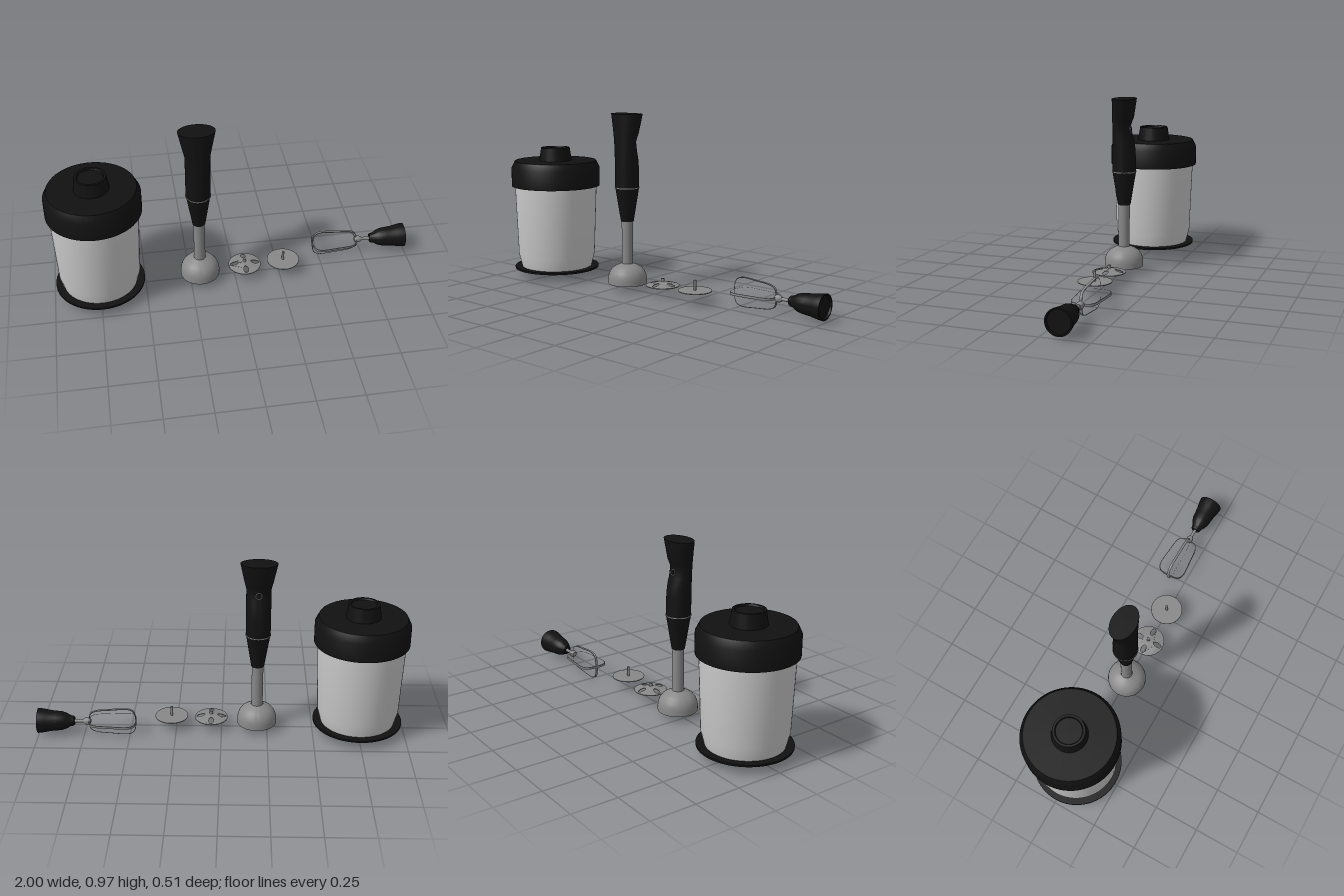
import * as THREE from 'three';
import { toCreasedNormals } from 'three/addons/utils/BufferGeometryUtils.js';

const black = new THREE.MeshStandardMaterial({ color: 0x111111 });
const grey = new THREE.MeshStandardMaterial({ color: 0xcccccc });
const steel = new THREE.MeshStandardMaterial({ color: 0x888888 });

function add(parent, name, geometry, material, x = 0, y = 0, z = 0) {
  const mesh = new THREE.Mesh(geometry, material);
  mesh.name = name;
  mesh.position.set(x, y, z);
  parent.add(mesh);
  return mesh;
}

function group(parent, name, x = 0, y = 0, z = 0) {
  const g = new THREE.Group();
  g.name = name;
  g.position.set(x, y, z);
  parent.add(g);
  return g;
}

// Turned part from [radius, height] pairs, bottom to top
function lathe(points, segments = 64) {
  const profile = points.map(([r, y]) => new THREE.Vector2(r, y));
  return toCreasedNormals(new THREE.LatheGeometry(profile, segments), 0.5);
}

// Skin over elliptical sections: [y, half width, z front, z back]
function loft(rows, n = 48) {
  const pos = [], index = [];
  rows.forEach(([y, hx, zf, zb], r) => {
    for (let i = 0; i < n; i++) {
      const a = (i / n) * Math.PI * 2;
      pos.push(hx * Math.cos(a), y, (zf + zb) / 2 + ((zf - zb) / 2) * Math.sin(a));
      if (r === rows.length - 1) continue;
      const a0 = r * n + i, a1 = r * n + ((i + 1) % n);
      index.push(a0, a0 + n, a1, a1, a0 + n, a1 + n);
    }
  });
  const g = new THREE.BufferGeometry();
  g.setAttribute('position', new THREE.Float32BufferAttribute(pos, 3));
  g.setIndex(index);
  return toCreasedNormals(g, 0.6);
}

function beaker(parent) {
  const g = group(parent, 'beaker', -0.746);
  add(g, 'basePad', lathe([[0, 0.048], [0.243, 0.048], [0.243, 0.058], [0, 0.058]]), black);
  add(g, 'beakerBody', lathe([[0, 0.057], [0.202, 0.057], [0.221, 0.13], [0.236, 0.54], [0, 0.54]]), grey);
  add(g, 'lid', lathe([[0, 0.53], [0.254, 0.53], [0.254, 0.635], [0.234, 0.675], [0, 0.675]]), black);
  add(g, 'lidCoupling', lathe([[0.094, 0.67], [0.082, 0.75], [0.07, 0.75], [0.066, 0.742], [0, 0.742]]), black);
}

function stickBlender(parent) {
  const g = group(parent, 'stickBlender', -0.194);
  // Hollow blade guard, shaft and blade
  add(g, 'bladeGuard', lathe([
    [0, 0.128], [0.035, 0.128], [0.075, 0.113], [0.092, 0.094], [0.101, 0.07], [0.102, 0.033],
    [0.107, 0.033], [0.107, 0.06], [0.104, 0.08], [0.096, 0.1], [0.08, 0.12], [0.058, 0.133], [0.032, 0.145],
  ]), steel);
  add(g, 'shaft', new THREE.CylinderGeometry(0.031, 0.031, 0.25, 40), steel, 0, 0.265);
  add(g, 'bladeSpindle', new THREE.CylinderGeometry(0.007, 0.007, 0.08, 16), steel, 0, 0.09);
  for (const s of [-1, 1]) {
    const blade = add(g, 'blade', new THREE.BoxGeometry(0.055, 0.004, 0.014), steel, s * 0.028, 0.062);
    blade.rotation.z = s * 0.2;
  }
  // Handle: tapered neck, seam ring, grip flaring sideways at the top
  add(g, 'handleNeck', lathe([[0, 0.38], [0.035, 0.38], [0.065, 0.566], [0, 0.566]]), black);
  add(g, 'seamRing', lathe([[0, 0.564], [0.068, 0.564], [0.068, 0.569], [0, 0.569]]), steel);
  add(g, 'grip', loft([
    [0.568, 0, 0, 0], [0.568, 0.066, 0.065, -0.065], [0.68, 0.066, 0.065, -0.062],
    [0.73, 0.066, 0.065, -0.055], [0.77, 0.066, 0.065, -0.043], [0.82, 0.066, 0.065, -0.034],
    [0.84, 0.07, 0.065, -0.04], [0.865, 0.076, 0.065, -0.05], [0.968, 0.098, 0.065, -0.064],
    [0.968, 0, 0, 0],
  ]), black);
  // Control on the back of the grip
  const control = group(g, 'control', 0, 0.8, -0.037);
  control.rotation.x = -Math.PI / 2 + 0.15;
  add(control, 'button', new THREE.CylinderGeometry(0.011, 0.011, 0.008, 24), black);
  const rim = add(control, 'buttonRim', new THREE.TorusGeometry(0.016, 0.002, 8, 32), steel);
  rim.rotation.x = Math.PI / 2;
}

function discs(parent) {
  // Shallow cone with four oval slots
  const slotted = group(parent, 'slottedDisc', 0.057);
  const R = 0.09, shape = new THREE.Shape();
  shape.absarc(0, 0, R, 0, Math.PI * 2);
  const hub = new THREE.Path();
  hub.absarc(0, 0, 0.008, 0, Math.PI * 2, true);
  shape.holes.push(hub);
  for (let i = 0; i < 4; i++) {
    const a = (i * Math.PI) / 2, slot = new THREE.Path();
    slot.absellipse(0.058 * Math.cos(a), 0.058 * Math.sin(a), 0.023, 0.013, 0, Math.PI * 2, true, a);
    shape.holes.push(slot);
  }
  const plate = new THREE.ExtrudeGeometry(shape, { depth: 0.004, bevelEnabled: false, curveSegments: 32 });
  plate.rotateX(-Math.PI / 2);
  const p = plate.attributes.position;
  for (let i = 0; i < p.count; i++) {
    p.setY(i, p.getY(i) + 0.022 * (1 - Math.hypot(p.getX(i), p.getZ(i)) / R));
  }
  add(slotted, 'slottedPlate', toCreasedNormals(plate, 0.5), steel, 0, 0.056);
  add(slotted, 'slottedHub', new THREE.CylinderGeometry(0.009, 0.01, 0.025, 24), steel, 0, 0.083);

  // Flat disc with a drive pin
  const flat = group(parent, 'flatDisc', 0.276);
  add(flat, 'flatPlate', new THREE.CylinderGeometry(R, R, 0.004, 64), steel, 0, 0.064);
  add(flat, 'drivePin', new THREE.CylinderGeometry(0.007, 0.007, 0.056, 20), steel, 0, 0.092);
}

// Flat wire band following a closed loop in the xy plane
function bandLoop() {
  const half = [[0.468, 0.03], [0.478, 0.06], [0.505, 0.075], [0.6, 0.071], [0.69, 0.06], [0.712, 0.045], [0.72, 0.012]];
  const pts = [...half, ...half.map(([x, y]) => [x, -y]).reverse()].map(([x, y]) => new THREE.Vector3(x, y, 0));
  const curve = new THREE.CatmullRomCurve3(pts, true, 'centripetal');
  const n = 120, t = 0.002, outer = [], inner = [];
  for (let i = 0; i < n; i++) {
    const c = curve.getPointAt(i / n), d = curve.getTangentAt(i / n);
    outer.push(new THREE.Vector2(c.x - d.y * t, c.y + d.x * t));
    inner.push(new THREE.Vector2(c.x + d.y * t, c.y - d.x * t));
  }
  const shape = new THREE.Shape(outer);
  shape.holes.push(new THREE.Path(inner));
  const g = new THREE.ExtrudeGeometry(shape, { depth: 0.013, bevelEnabled: false });
  g.translate(0, 0, -0.0065);
  return toCreasedNormals(g, 0.6);
}

function whisk(parent) {
  const g = group(parent, 'whisk', 0, 0.078, -0.094);
  const loop = bandLoop();
  add(g, 'whiskLoop', loop, steel);
  add(g, 'whiskLoop', loop, steel).rotation.x = Math.PI / 2;
  const parts = [
    ['whiskCollar', [[0, 0.712], [0.013, 0.712], [0.019, 0.722], [0.019, 0.74], [0.012, 0.753], [0, 0.753]], steel],
    ['whiskStem', [[0, 0.74], [0.009, 0.74], [0.009, 0.81], [0, 0.81]], steel],
    ['whiskSocket', [
      [0, 0.8], [0.022, 0.8], [0.027, 0.806], [0.03, 0.822], [0.043, 0.845], [0.051, 0.87], [0.054, 0.9],
      [0.057, 0.93], [0.062, 0.955], [0.067, 0.985], [0.068, 1], [0.061, 1], [0.058, 0.99], [0, 0.99],
    ], black],
  ];
  for (const [name, profile, material] of parts) {
    add(g, name, lathe(profile, 48), material).rotation.z = -Math.PI / 2;
  }
}

export function createModel() {
  const model = new THREE.Group();
  model.name = 'handBlenderSet';
  beaker(model);
  stickBlender(model);
  discs(model);
  whisk(model);
  return model;
}
